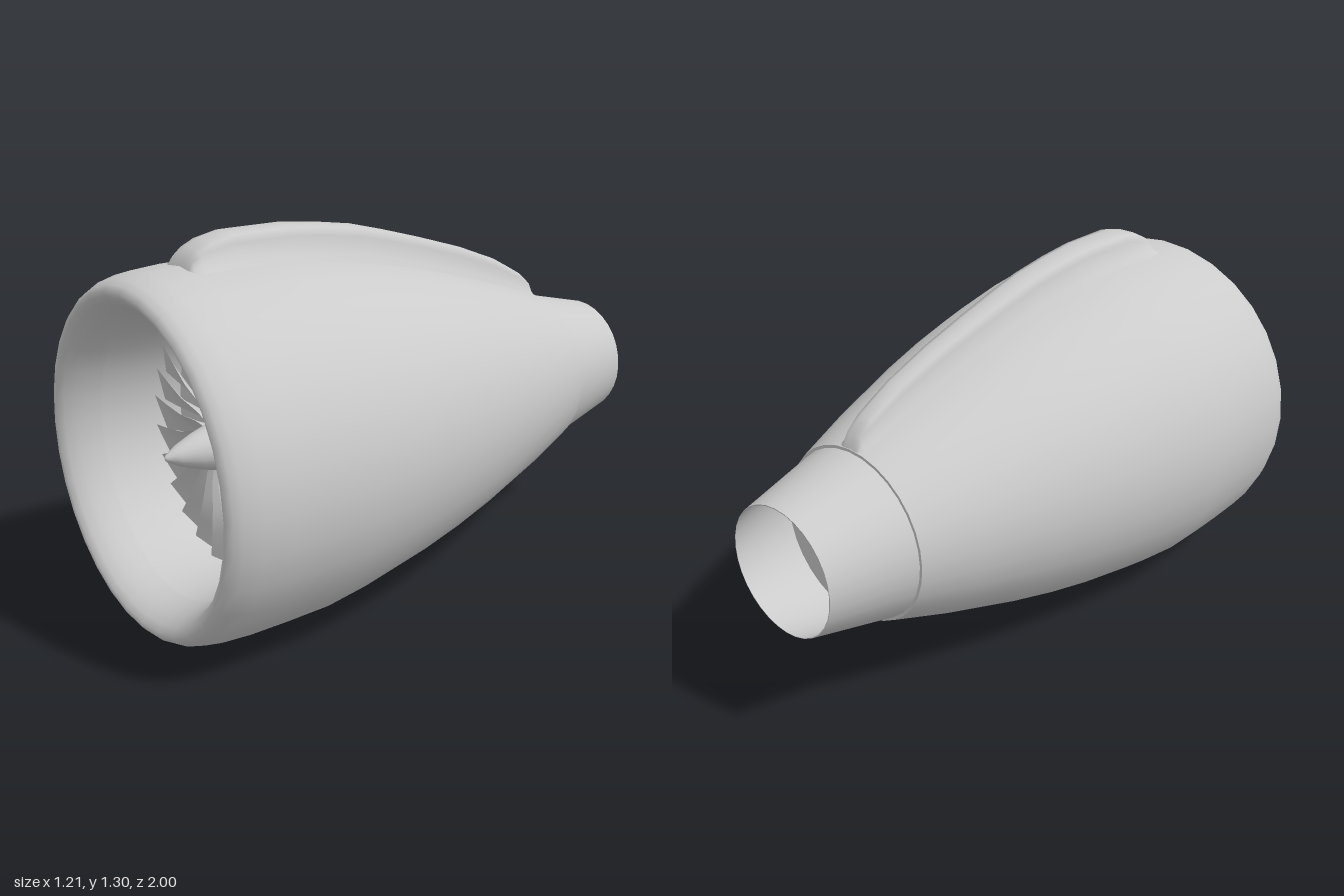
import * as THREE from 'three';

const CY = 0.607; // height of the engine axis
const material = new THREE.MeshStandardMaterial({ color: 0xcccccc, side: THREE.DoubleSide });

// Outer cowl as [radius, z], rear to front
const COWL = [[0.304, -0.7], [0.375, -0.5], [0.462, -0.22], [0.51, -0.04], [0.548, 0.13], [0.585, 0.34],
  [0.604, 0.5], [0.606, 0.66], [0.605, 0.8], [0.598, 0.9], [0.582, 0.96], [0.567, 0.985], [0.55, 1]];

// Linear interpolation in a list of [value, z], ordered by rising z
function lookup(list, z) {
  for (let i = 1; i < list.length; i++) {
    const [a, z0] = list[i - 1], [b, z1] = list[i];
    if (z <= z1) return a + (b - a) * (z - z0) / (z1 - z0);
  }
  return list[list.length - 1][0];
}

function mesh(name, geometry) {
  const m = new THREE.Mesh(geometry, material);
  m.name = name;
  return m;
}

// Body of revolution about the engine axis
function revolve(name, profile, sides = 32) {
  const g = new THREE.LatheGeometry(profile.map(([r, z]) => new THREE.Vector2(r, z)), sides);
  g.rotateX(Math.PI / 2);
  const m = mesh(name, g);
  m.position.y = CY;
  return m;
}

// Surface through equally long rows of points
function loft(rows) {
  const n = rows[0].length, index = [];
  for (let i = 0; i < rows.length - 1; i++) {
    for (let j = 0; j < n - 1; j++) {
      const a = i * n + j, b = a + n;
      index.push(a, b, a + 1, b, b + 1, a + 1);
    }
  }
  const g = new THREE.BufferGeometry();
  g.setAttribute('position', new THREE.Float32BufferAttribute(rows.flat(2), 3));
  g.setIndex(index);
  g.computeVertexNormals();
  return g;
}

// Flared fairing along the top of the cowl
function pylonGeometry() {
  const crest = [[0.905, -0.7], [0.955, -0.68], [1.0, -0.63], [1.033, -0.57], [1.07, -0.5], [1.135, -0.33],
    [1.19, -0.15], [1.232, 0], [1.265, 0.13], [1.288, 0.28], [1.302, 0.42], [1.303, 0.63], [1.285, 0.71],
    [1.262, 0.755], [1.235, 0.785], [1.2, 0.8]];
  // [share of base width, share of height] from base to crest
  const side = [[1, 0], [0.8, 0.25], [0.63, 0.5], [0.58, 0.72], [0.5, 0.94], [0.25, 1]];
  const section = [...side, [0, 1], ...side.map(([w, h]) => [-w, h]).reverse()];
  const rows = crest.map(([top, z]) => {
    const half = lookup([[0.06, -0.7], [0.105, 0.4], [0.118, 0.8]], z);
    const r = lookup(COWL, z);
    const base = CY + Math.sqrt(r * r - half * half) - 0.008;
    return section.map(([w, h]) => [w * half, base + (top - base) * h, z]);
  });
  return loft(rows.reverse());
}

// One twisted blade: steep at the root, shallow at the tip
function bladeGeometry() {
  // [radius, front edge angle, rear edge angle, front z, rear z], in degrees
  const stations = [[0.07, -20, -2, 0.68, 0.58], [0.16, -8, 10, 0.68, 0.59],
    [0.26, -1, 17, 0.68, 0.61], [0.36, 0, 17.5, 0.675, 0.62], [0.45, 0, 17, 0.67, 0.63]];
  return loft(stations.map(([r, a, b, za, zb]) => [[a, za], [b, zb]].map(([deg, z]) => {
    const t = THREE.MathUtils.degToRad(deg);
    return [r * Math.sin(-t), r * Math.cos(t), z];
  })));
}

export function createModel() {
  const model = new THREE.Group();
  model.name = 'jetEngine';

  // Cowl with the rounded intake lip rolling inwards
  model.add(revolve('cowl', [...COWL, [0.535, 0.997], [0.515, 0.98], [0.495, 0.945], [0.48, 0.905], [0.47, 0.865]]));
  model.add(revolve('intakeDuct', [[0.47, 0.865], [0.46, 0.8], [0.452, 0.7], [0.45, 0.57]]));
  model.add(revolve('fanBackPlate', [[0.45, 0.57], [0, 0.57]]));

  // Fan
  const fan = new THREE.Group();
  fan.name = 'fan';
  fan.position.y = CY;
  const blade = bladeGeometry(), count = 26;
  for (let i = 0; i < count; i++) {
    const b = mesh('fanBlade', blade);
    b.rotation.z = (i / count) * Math.PI * 2;
    fan.add(b);
  }
  model.add(fan);
  model.add(revolve('spinner', [[0.083, 0.57], [0.083, 0.66], [0.077, 0.71], [0.06, 0.77], [0.035, 0.835], [0.01, 0.878], [0, 0.883]], 24));

  // Exhaust nozzle, open at the back
  model.add(revolve('exhaustNozzle', [[0.222, -1], [0.294, -0.7]]));
  model.add(revolve('nozzleRim', [[0.294, -0.7], [0.304, -0.7]]));
  model.add(revolve('nozzleLiner', [[0.284, -0.73], [0.219, -1], [0.222, -1]]));
  model.add(revolve('exhaustPlate', [[0, -0.73], [0.284, -0.73]]));

  model.add(mesh('pylon', pylonGeometry()));
  return model;
}
